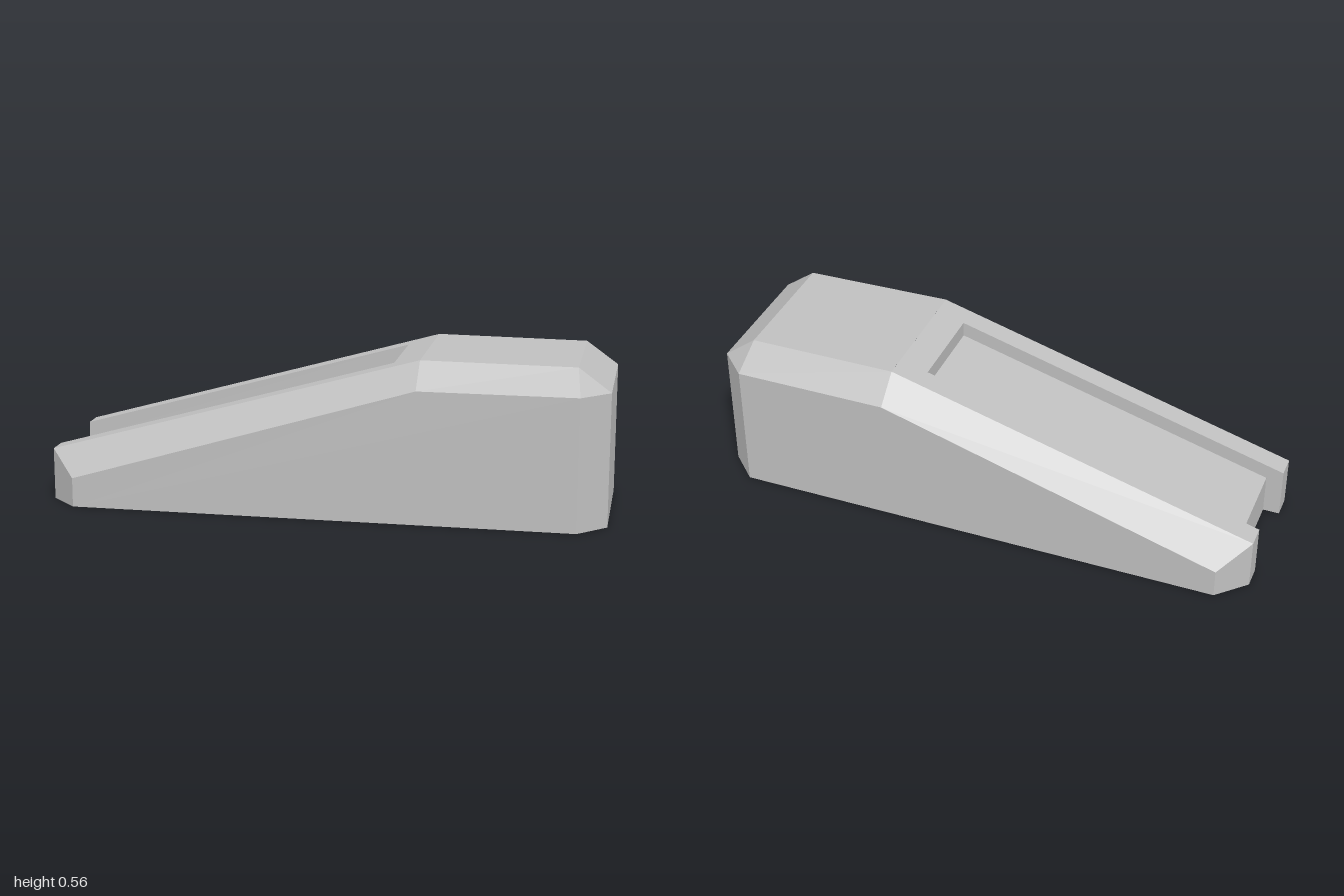
import * as THREE from 'three';

// Flat polygon faces: triangulated on the plane facing "out" and wound towards it
function facet(polys) {
  const pos = [];
  for (const [pts, out, hole = []] of polys) {
    const o = new THREE.Vector3(...out);
    const a = out.map(Math.abs);
    const k = a.indexOf(Math.max(...a));
    const flat = (p) => new THREE.Vector2(p[(k + 1) % 3], p[(k + 2) % 3]);
    const all = [...pts, ...hole].map((p) => new THREE.Vector3(...p));
    const tris = THREE.ShapeUtils.triangulateShape(pts.map(flat), hole.length ? [hole.map(flat)] : []);
    for (const t of tris) {
      const [p, q, r] = t.map((i) => all[i]);
      const n = q.clone().sub(p).cross(r.clone().sub(p));
      for (const v of n.dot(o) > 0 ? [p, q, r] : [p, r, q]) pos.push(v.x, v.y, v.z);
    }
  }
  const g = new THREE.BufferGeometry();
  g.setAttribute('position', new THREE.Float32BufferAttribute(pos, 3));
  g.computeVertexNormals();
  return g;
}

export function createModel() {
  const group = new THREE.Group();
  const grey = new THREE.MeshStandardMaterial({ color: 0xc0c0c0 });
  grey.name = 'light grey';
  const add = (name, polys) => {
    const m = new THREE.Mesh(facet(polys), grey);
    m.name = name;
    group.add(m);
  };

  const W = 0.345, E = 0.247, N = 0.167;      // half widths: body, bevel edge, slot
  const S = 0.055, X0 = -0.94, X1 = 0.237;    // slot depth, lip and far end
  const top = (x) => 0.187 + 0.282 * (x + 1); // sloping top
  const shoulder = 0.476, ridge = 0.565, bevelX = 0.34;

  // Side walls, bevels and low-end rails, mirrored in z
  const sides = [], bevels = [], slot = [];
  for (const s of [1, -1]) {
    const w = s * W, e = s * E, n = s * N;
    const peak = [0.885, 0.56, s * 0.242];
    sides.push(
      [[[-0.9, 0, w], [0.9, 0, w], [0.9, shoulder, w], [bevelX, shoulder, w], [-0.9, 0.105, w]], [0, 0, s]],
      [[[0.9, 0, w], [1, 0, e], [1, shoulder, e], [0.9, shoulder, w]], [0.7, 0, s]],
      [[[-0.9, 0, w], [-1, 0, e], [-1, 0.187, e], [-0.9, 0.105, w]], [-0.7, 0, s]],
      [[[-1, 0, e], [-1, 0.187, e], [-1, 0.187, n], [-1, 0, n]], [-1, 0, 0]],
    );
    bevels.push(
      [[[-0.9, 0.105, w], [bevelX, shoulder, w], [bevelX, ridge, e], [-1, 0.187, e]], [0, 1, s * 0.9]],
      [[[bevelX, shoulder, w], [0.9, shoulder, w], peak, [bevelX, ridge, e]], [0, 1, s * 0.9]],
      [[[0.9, shoulder, w], [1, shoulder, e], peak], [0.5, 1, s * 0.5]],
    );
    slot.push([[[-1, 0, n], [-1, 0.187, n], [X1, top(X1), n], [X1, top(X1) - S, n],
      [X0, top(X0) - S, n], [X0, 0, n]], [0, 0, -s]]);
  }
  sides.push([[[1, 0, E], [1, 0, -E], [1, shoulder, -E], [1, shoulder, E]], [1, 0, 0]]);
  add('sideWalls', sides);
  add('bevels', bevels);

  // Top: slope cut by the slot, flat rear deck and short end slope
  const slope = [[-1, E], [-1, N], [X1, N], [X1, -N], [-1, -N], [-1, -E], [bevelX, -E], [bevelX, E]];
  add('topSurface', [
    [slope.map(([x, z]) => [x, top(x), z]), [0, 1, 0]],
    [[[bevelX, ridge, E], [bevelX, ridge, -E], [0.885, 0.56, -0.242], [0.885, 0.56, 0.242]], [0, 1, 0]],
    [[[0.885, 0.56, 0.242], [0.885, 0.56, -0.242], [1, shoulder, -E], [1, shoulder, E]], [0.6, 1, 0]],
  ]);

  // Slot floor, far end and lip
  const across = (x, y0, y1) => [[x, y0, N], [x, y1, N], [x, y1, -N], [x, y0, -N]];
  slot.push(
    [[[X0, top(X0) - S, N], [X1, top(X1) - S, N], [X1, top(X1) - S, -N], [X0, top(X0) - S, -N]], [0, 1, 0]],
    [across(X1, top(X1) - S, top(X1)), [-1, 0, 0]],
    [across(X0, 0, top(X0) - S), [-1, 0, 0]],
  );
  add('slot', slot);

  // Underside rim and hollow
  const rim = [[0.9, W], [1, E], [1, -E], [0.9, -W], [-0.9, -W], [-1, -E], [-1, -N], [X0, -N],
    [X0, N], [-1, N], [-1, E], [-0.9, W]];
  const inner = [[0.865, 0.288], [0.94, 0.215], [0.94, -0.215], [0.865, -0.288],
    [-0.825, -0.288], [-0.89, -0.22], [-0.89, 0.22], [-0.825, 0.288]];
  const at = (list, y) => list.map(([x, z]) => [x, y, z]);
  const H = 0.14;
  add('bottomRim', [[at(rim, 0), [0, -1, 0], at(inner, 0)]]);
  const hollow = [[at(inner, H), [0, -1, 0]]];
  inner.forEach(([x, z], i) => {
    const [u, v] = inner[(i + 1) % inner.length];
    hollow.push([[[x, 0, z], [u, 0, v], [u, H, v], [x, H, z]], [v - z, 0, x - u].map((c) => c)]);
  });
  // Turn each hollow wall towards the centre
  for (const h of hollow.slice(1)) {
    const [p, q] = h[0];
    if (h[1][0] * (p[0] + q[0]) + h[1][2] * (p[2] + q[2]) > 0) h[1] = h[1].map((c) => -c);
  }
  add('hollow', hollow);
  return group;
}
